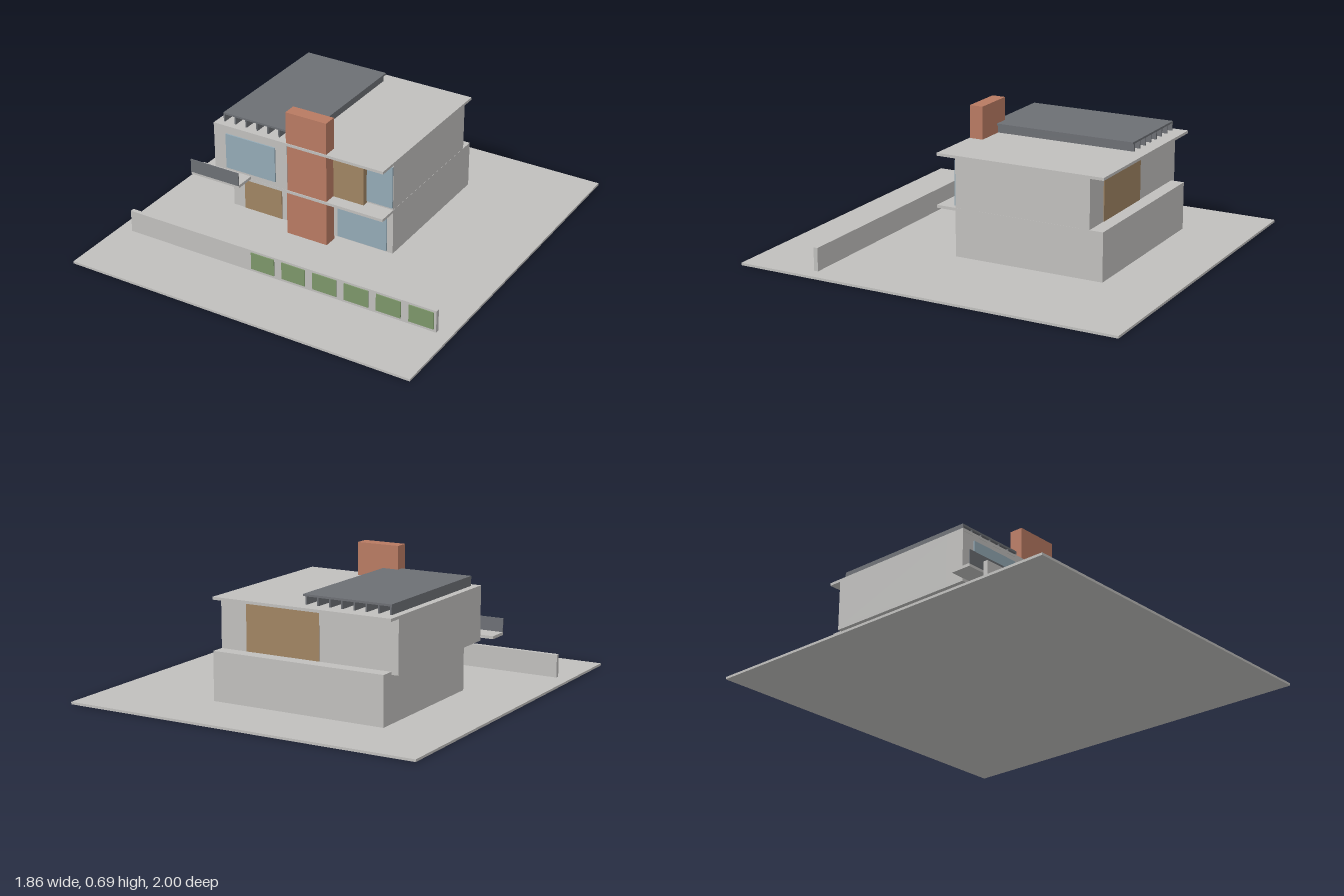
import * as THREE from 'three';

const mat = (name, color) => {
  const m = new THREE.MeshStandardMaterial({ color });
  m.name = name;
  return m;
};

export function createModel() {
  const house = new THREE.Group();
  house.name = 'house';

  const concrete = mat('concrete', 0xc0bfbd);
  const brick = mat('brick', 0xb87a62);
  const wood = mat('wood', 0xa08462);
  const glass = mat('glass', 0x94aab6);
  const hedge = mat('hedge green', 0x7c9669);
  const metal = mat('dark metal', 0x6c6f74);

  // Box given by its limits on each axis
  const box = (name, material, [x0, x1], [y0, y1], [z0, z1]) => {
    const mesh = new THREE.Mesh(new THREE.BoxGeometry(x1 - x0, y1 - y0, z1 - z0), material);
    mesh.position.set((x0 + x1) / 2, (y0 + y1) / 2, (z0 + z1) / 2);
    mesh.name = name;
    house.add(mesh);
  };

  // Plot and garden wall with planted panels
  box('ground', concrete, [-0.93, 0.93], [0, 0.012], [-1, 1]);
  box('gardenWall', concrete, [-0.857, 0.857], [0.012, 0.128], [0.606, 0.628]);
  for (let i = 0; i < 6; i++) {
    const x = -0.145 + i * 0.172;
    box('hedgePanel', hedge, [x, x + 0.13], [0.027, 0.117], [0.628, 0.633]);
  }

  // Ground floor
  box('lowerFloor', concrete, [-0.57, 0.355], [0.012, 0.257], [-0.642, 0.146]);
  box('lowerDoor', wood, [-0.5, -0.28], [0.014, 0.21], [0.146, 0.152]);
  box('lowerWindow', glass, [0.045, 0.322], [0.018, 0.23], [0.146, 0.152]);

  // Upper floor: recessed volume, projecting front room, slabs
  box('floorSlab', concrete, [-0.607, 0.355], [0.243, 0.2575], [-0.572, 0.249]);
  box('upperFloor', concrete, [-0.607, 0.354], [0.257, 0.506], [-0.572, 0.146]);
  box('frontRoom', concrete, [-0.607, -0.182], [0.257, 0.506], [0.146, 0.248]);
  box('roofSlab', concrete, [-0.607, 0.355], [0.504, 0.518], [-0.642, 0.249]);
  box('frontRoomWindow', glass, [-0.535, -0.248], [0.287, 0.476], [0.248, 0.255]);
  box('woodBay', wood, [0.04, 0.21], [0.257, 0.504], [0.146, 0.181]);
  box('upperWindow', glass, [0.21, 0.352], [0.268, 0.492], [0.146, 0.152]);
  box('rearPanel', wood, [-0.19, 0.21], [0.258, 0.504], [-0.576, -0.572]);

  // Brick chimney running through both slabs
  box('chimney', brick, [-0.188, 0.04], [0.012, 0.685], [0.174, 0.245]);

  // Balcony
  box('balconyFloor', concrete, [-0.677, -0.395], [0.258, 0.273], [0.248, 0.355]);
  box('balconyRail', metal, [-0.677, -0.395], [0.271, 0.342], [0.353, 0.358]);

  // Roof canopy on fins
  box('canopy', metal, [-0.571, -0.103], [0.557, 0.567], [-0.573, 0.213]);
  for (let i = 0; i < 8; i++) {
    const x = -0.571 + i * 0.0638;
    box('canopyFin', metal, [x, x + 0.008], [0.518, 0.557], [-0.573, 0.213]);
  }

  return house;
}
